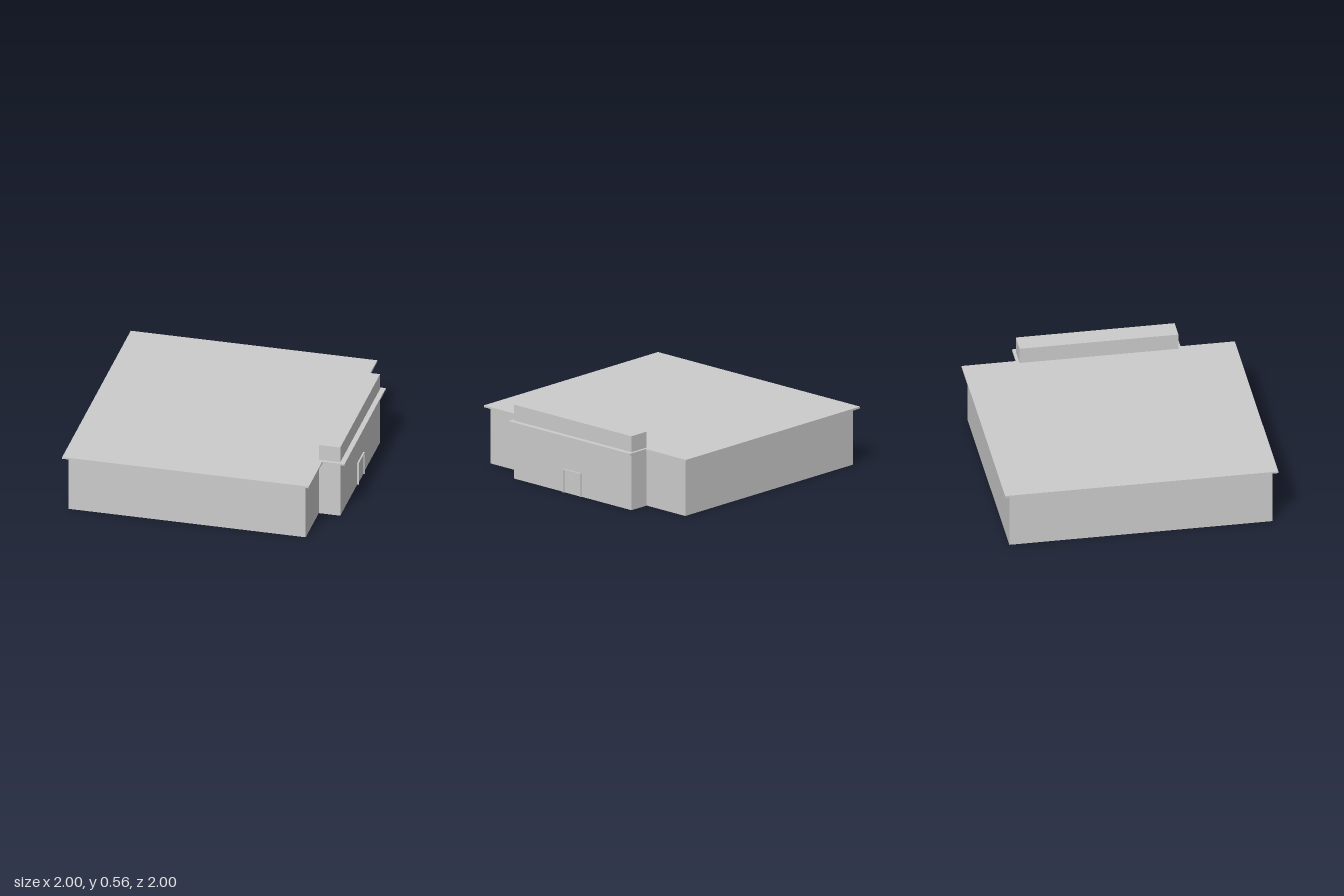
import * as THREE from 'three';

const grey = new THREE.MeshStandardMaterial({ color: 0xcccccc, flatShading: true });

function add(parent, name, geometry) {
  const mesh = new THREE.Mesh(geometry, grey);
  mesh.name = name;
  parent.add(mesh);
}

// Box given by its minimum and maximum corners
function box(parent, name, [x0, y0, z0], [x1, y1, z1]) {
  const g = new THREE.BoxGeometry(x1 - x0, y1 - y0, z1 - z0);
  g.translate((x0 + x1) / 2, (y0 + y1) / 2, (z0 + z1) / 2);
  add(parent, name, g);
}

// Rectangular plan with a centred entrance bay on the +x side, raised from y0 to y1
function planSlab(parent, name, plan, y0, y1) {
  const { back, side, half, bay, bayHalf } = plan;
  const corners = [
    [back, -half], [side, -half], [side, -bayHalf], [bay, -bayHalf],
    [bay, bayHalf], [side, bayHalf], [side, half], [back, half],
  ].map(([x, z]) => new THREE.Vector2(x, z));
  const g = new THREE.ExtrudeGeometry(new THREE.Shape(corners), { depth: y1 - y0, bevelEnabled: false });
  g.rotateX(-Math.PI / 2);
  g.translate(0, y0, 0);
  add(parent, name, g);
}

export function createModel() {
  const model = new THREE.Group();
  model.name = 'building';

  // Main walls and overhanging flat roof
  const wallX = 0.963, bayHalf = 0.581, eaves = 0.423, roofTop = 0.437;
  planSlab(model, 'walls', { back: -0.963, side: 0.803, half: 0.963, bay: wallX, bayHalf }, 0, eaves);
  planSlab(model, 'roof', { back: -1, side: 0.835, half: 1, bay: 1, bayHalf: 0.602 }, eaves, roofTop);

  // Raised block above the entrance bay
  box(model, 'entranceParapet', [0.803, roofTop, -bayHalf], [wallX, 0.557, bayHalf]);

  // Double door with a slim projecting frame
  const entrance = new THREE.Group();
  entrance.name = 'entrance';
  model.add(entrance);
  const doorHalf = 0.088, doorTop = 0.176, bar = 0.007, frontX = 0.975;
  for (const s of [-1, 1]) {
    const outer = s * doorHalf, inner = s * (doorHalf - bar);
    box(entrance, 'doorJamb', [wallX, 0, Math.min(outer, inner)], [frontX, doorTop, Math.max(outer, inner)]);
    box(entrance, 'doorPanel', [wallX, 0, Math.min(0, inner)], [wallX + 0.003, doorTop - bar, Math.max(0, inner)]);
  }
  box(entrance, 'doorLintel', [wallX, doorTop - bar, bar - doorHalf], [frontX, doorTop, doorHalf - bar]);

  return model;
}
